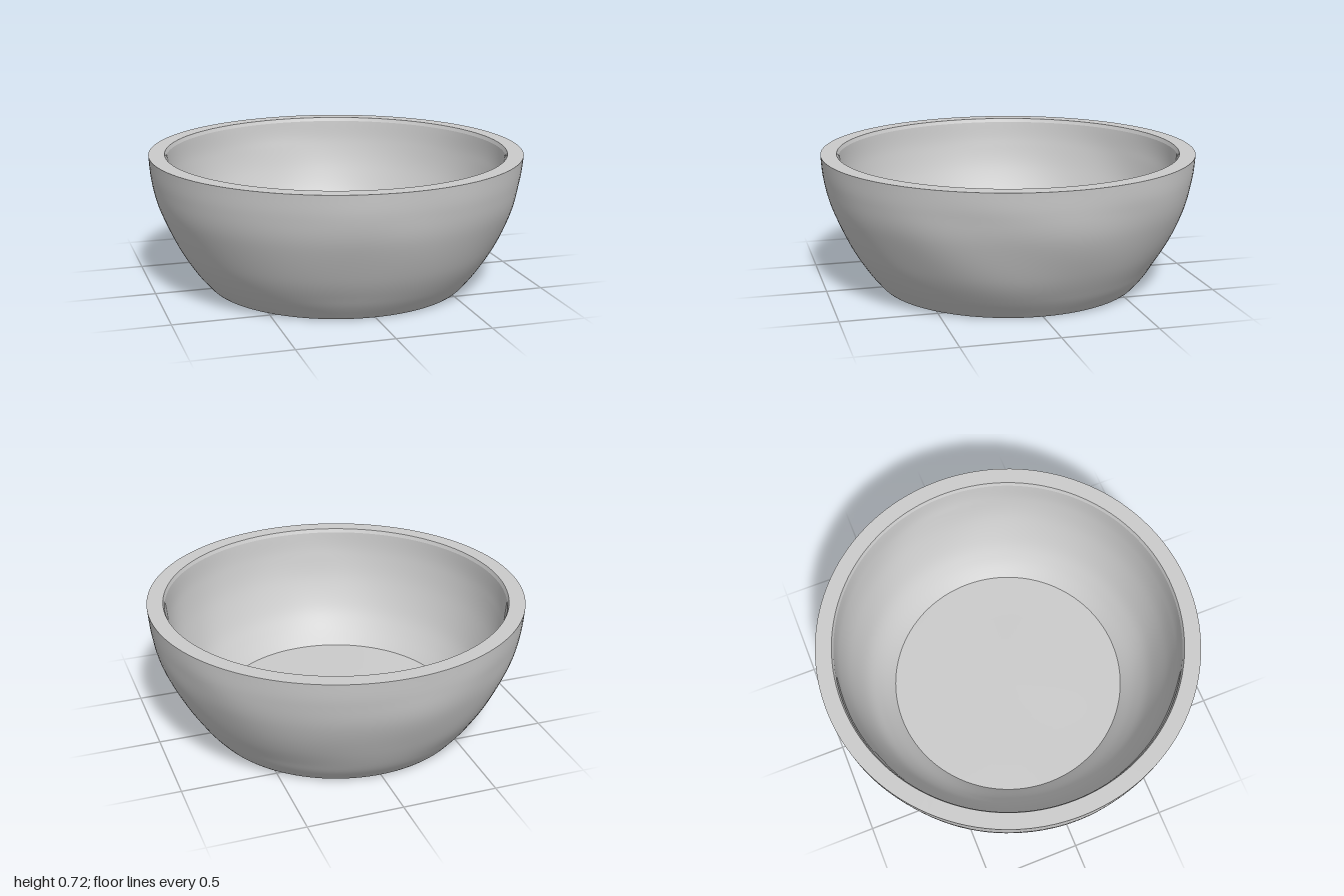
import * as THREE from 'three';
import { mergeVertices } from 'three/addons/utils/BufferGeometryUtils.js';

const SEGMENTS = 128;

// Soft, irregular hand-worked unevenness, roughly within -1..1
function unevenness(x, y, z) {
  return 0.4 * Math.sin(7 * x + 4 * y + 1.3 * Math.sin(5 * z))
    + 0.35 * Math.sin(8 * z - 9 * y + 1.5 * Math.sin(6 * x + 1))
    + 0.25 * Math.sin(13 * y + 6 * x - 7 * z + 2);
}

// Revolve a profile, push it along its normals by the unevenness, and weld the seam
function revolve(name, points, material, amount = 0) {
  const geo = new THREE.LatheGeometry(points, SEGMENTS);
  const { position: pos, normal: nor, uv } = geo.attributes;
  const p = new THREE.Vector3(), n = new THREE.Vector3();
  for (let i = 0; i < pos.count; i++) {
    p.fromBufferAttribute(pos, i);
    n.fromBufferAttribute(nor, i);
    // Fade to zero at the ends so neighbouring parts stay joined
    const fade = Math.min(1, 5 * Math.min(uv.getY(i), 1 - uv.getY(i)));
    p.addScaledVector(n, amount * fade * unevenness(p.x, p.y, p.z));
    pos.setXYZ(i, p.x, p.y, p.z);
  }
  geo.deleteAttribute('uv');
  geo.deleteAttribute('normal');
  const welded = mergeVertices(geo, 1e-4);
  welded.computeVertexNormals();
  const mesh = new THREE.Mesh(welded, material);
  mesh.name = name;
  return mesh;
}

const line = (...pts) => pts.map(([x, y]) => new THREE.Vector2(x, y));
const curve = (...pts) => new THREE.SplineCurve(line(...pts)).getSpacedPoints(36);

export function createModel() {
  const group = new THREE.Group();
  group.name = 'bowl';
  const material = new THREE.MeshStandardMaterial({ color: 0xcccccc, roughness: 0.8 });

  group.add(
    // Flat underside and its small rounded edge
    revolve('base', line([0, 0], [0.2, 0], [0.45, 0], [0.68, 0]), material),
    revolve('baseEdge', line([0.68, 0], [0.695, 0.004], [0.707, 0.015]), material),
    // Outer wall, steepening toward the rim
    revolve('outerWall', curve([0.707, 0.015], [0.783, 0.11], [0.868, 0.25],
      [0.953, 0.45], [0.988, 0.6], [1, 0.72]), material, 0.006),
    // Flat rim and the narrow lip inside it
    revolve('rim', line([1, 0.72], [0.915, 0.72]), material),
    revolve('innerLip', line([0.915, 0.72], [0.907, 0.7]), material),
    // Inner wall down to the flat floor
    revolve('innerWall', curve([0.907, 0.7], [0.893, 0.58], [0.855, 0.43],
      [0.785, 0.27], [0.715, 0.17], [0.635, 0.085]), material, 0.006),
    revolve('floor', line([0.635, 0.085], [0.5, 0.085], [0.38, 0.085],
      [0.25, 0.085], [0.12, 0.085], [0, 0.085]), material, 0.002),
  );
  return group;
}
